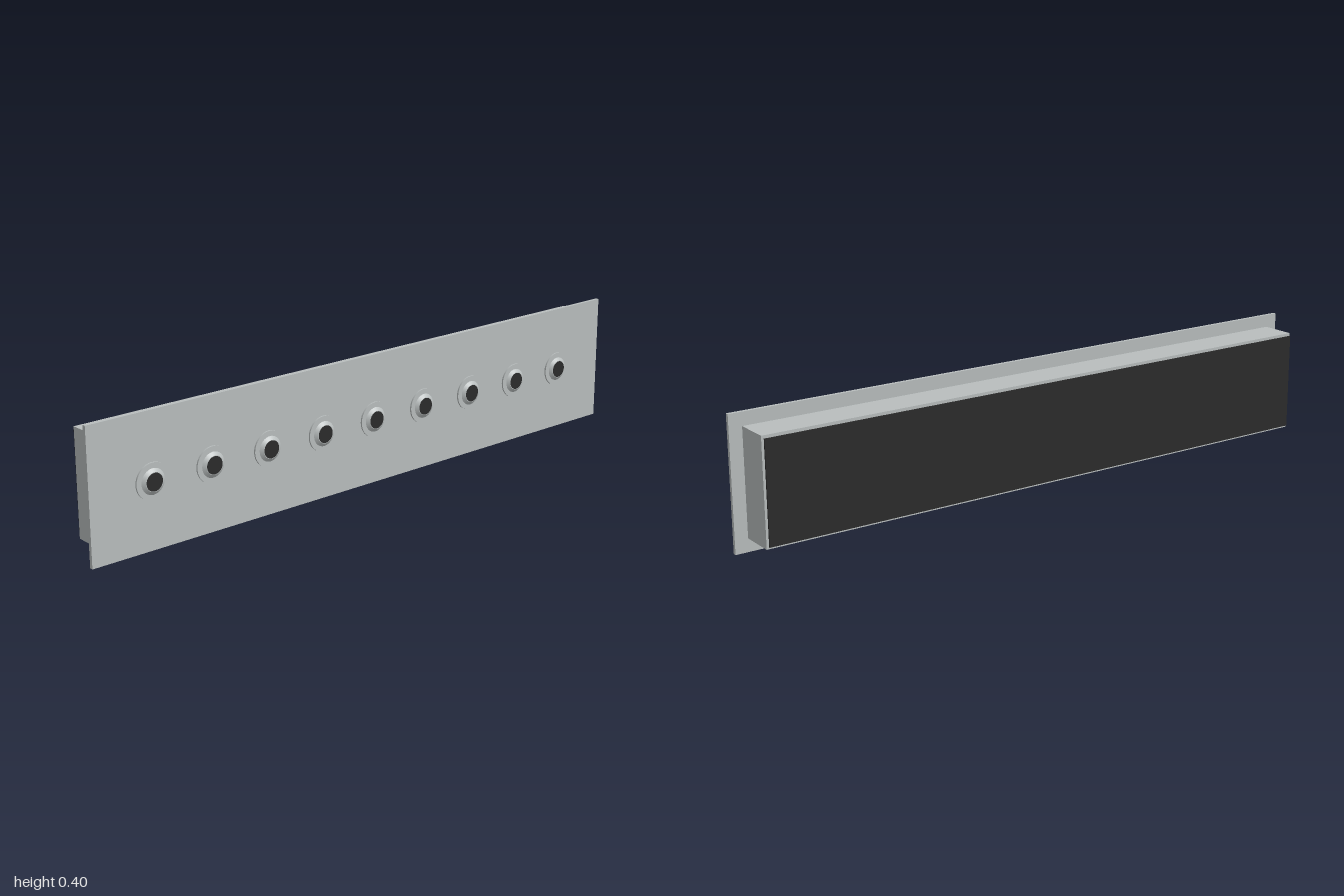
import * as THREE from 'three';

export function createModel() {
  const model = new THREE.Group();
  const grey = new THREE.MeshStandardMaterial({ color: 0xb9bebe });
  grey.name = 'satinGrey';
  const black = new THREE.MeshStandardMaterial({ color: 0x2b2b2b });
  black.name = 'black';

  // Box spanning z0..z1, centred on the panel's mid height
  function slab(name, w, h, z0, z1, material) {
    const mesh = new THREE.Mesh(new THREE.BoxGeometry(w, h, z1 - z0), material);
    mesh.name = name;
    mesh.position.set(0, 0.2, (z0 + z1) / 2);
    model.add(mesh);
  }
  slab('frontPanel', 2, 0.4, 0.048, 0.059, grey);
  slab('housing', 1.92, 0.32, -0.061, 0.048, grey);
  slab('backPlate', 1.91, 0.305, -0.07, -0.066, black);

  // Nozzle: flat flange, then a tapered nose; points doubled for sharp edges
  const profile = [
    [0.054, 0], [0.054, 0.005], [0.054, 0.005], [0.038, 0.005],
    [0.038, 0.005], [0.028, 0.012], [0.028, 0.012], [0.026, 0.012],
  ].map(([r, h]) => new THREE.Vector2(r, h));
  const collarGeometry = new THREE.LatheGeometry(profile, 32).rotateX(Math.PI / 2);
  const openingGeometry = new THREE.CircleGeometry(0.0265, 32);

  for (let i = -4; i <= 4; i++) {
    const nozzle = new THREE.Group();
    nozzle.name = 'nozzle';
    const collar = new THREE.Mesh(collarGeometry, grey);
    collar.name = 'nozzleCollar';
    const opening = new THREE.Mesh(openingGeometry, black);
    opening.name = 'nozzleOpening';
    opening.position.z = 0.0122;
    nozzle.add(collar, opening);
    nozzle.position.set(i * 0.2, 0.2, 0.059);
    model.add(nozzle);
  }
  return model;
}
